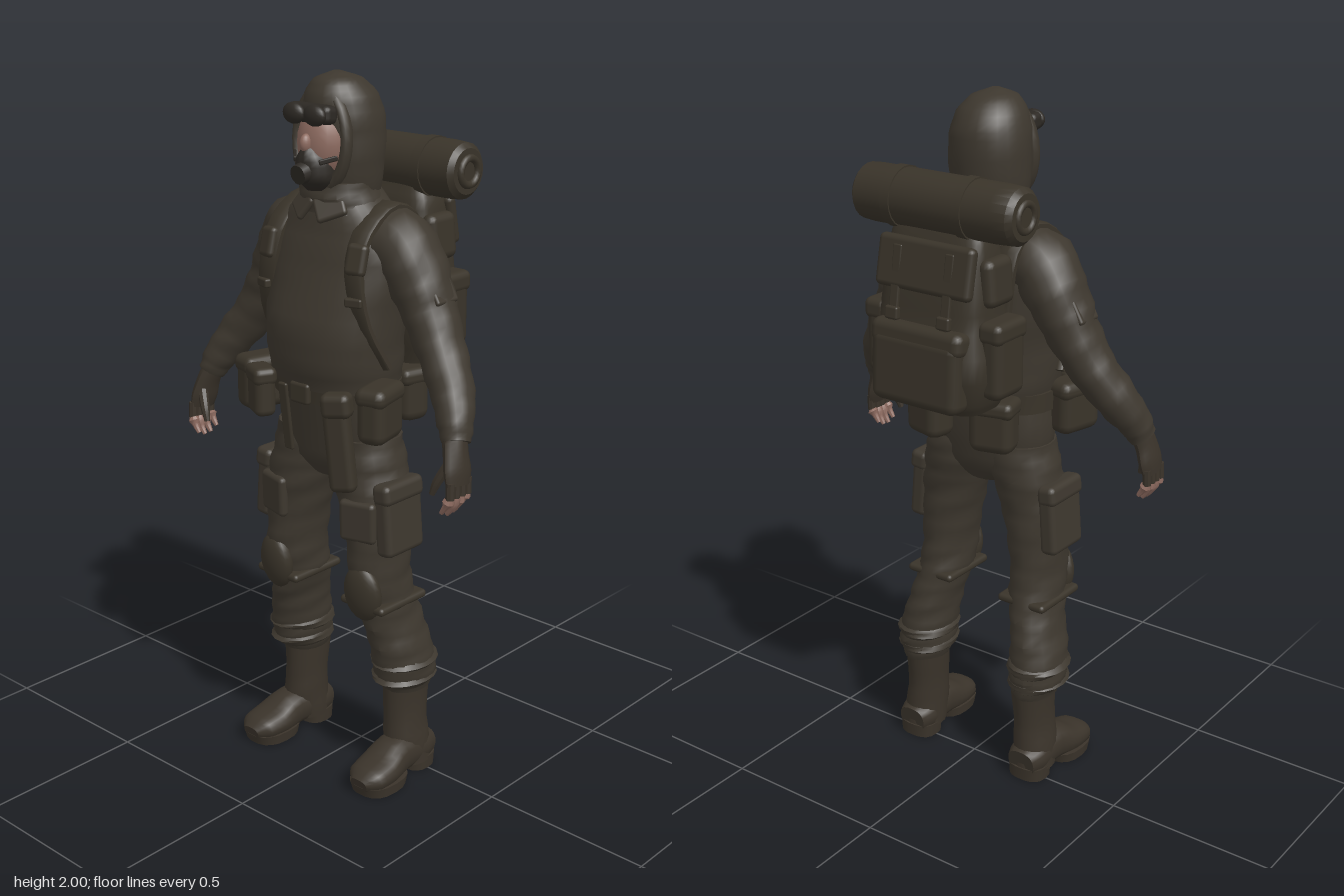
import * as THREE from 'three';
import { toCreasedNormals } from 'three/addons/utils/BufferGeometryUtils.js';
import { RoundedBoxGeometry } from 'three/addons/geometries/RoundedBoxGeometry.js';

const mat = (name, color) => Object.assign(new THREE.MeshStandardMaterial({ color }), { name });
const V = (x, y, z) => new THREE.Vector3(x, y, z);

export function createModel() {
  const cloth = mat('dark olive cloth', 0x3d372e);
  const gear = mat('pack canvas', 0x393329);
  const leather = mat('boot leather', 0x3a332a);
  const rubber = mat('mask rubber', 0x2c2823);
  const skin = mat('skin', 0x8c6a5f);
  const model = new THREE.Group();
  model.name = 'hikingSoldier';

  const add = (name, geo, material, pos = [0, 0, 0], rot = [0, 0, 0]) => {
    const m = new THREE.Mesh(geo, material);
    m.name = name;
    m.position.set(...pos);
    m.rotation.set(...rot);
    model.add(m);
    return m;
  };
  const box = (name, material, [w, h, d], pos, rot, r = 0.018) =>
    add(name, new RoundedBoxGeometry(w, h, d, 2, Math.min(r, w / 2.1, h / 2.1, d / 2.1)), material, pos, rot);
  const ball = (name, material, [a, b, c], pos, rot) =>
    add(name, new THREE.SphereGeometry(1, 18, 12).scale(a, b, c), material, pos, rot);

  // Skin through elliptical sections; each key is x, y, z, half width, half depth.
  // Without ref the sections stay level, with ref they follow the path.
  function loft(name, material, keys, { s = 1, seg = 18, steps = 3, power = 1, fold = 0, ref = null } = {}) {
    const path = new THREE.CatmullRomCurve3(keys.map(k => V(k[0] * s, k[1], k[2])));
    const size = new THREE.CatmullRomCurve3(keys.map(k => V(k[3], k[4], 0)));
    const n = (keys.length - 1) * steps, pos = [], idx = [];
    const bend = c => Math.sign(c) * Math.abs(c) ** power;
    for (let i = 0; i <= n; i++) {
      const c = path.getPoint(i / n), r = size.getPoint(i / n);
      const T = ref ? path.getTangent(i / n) : V(0, 1, 0);
      const v = ref ? V(...ref) : V(0, 0, 1);
      v.addScaledVector(T, -v.dot(T)).normalize();
      const u = T.clone().cross(v);
      for (let j = 0; j < seg; j++) {
        const t = j / seg * Math.PI * 2;
        const f = 1 + fold * (Math.sin(i * 2.1 + 2 * Math.sin(t + s)) + 0.5 * Math.sin(3 * t + i * 1.3));
        const p = c.clone().addScaledVector(u, r.x * f * bend(Math.cos(t))).addScaledVector(v, r.y * f * bend(Math.sin(t)));
        pos.push(p.x, p.y, p.z);
        const k = (j + 1) % seg, a = i * seg + j, b = i * seg + k;
        if (i < n) idx.push(a, a + seg, b, b, a + seg, b + seg);
      }
    }
    const lo = pos.length / 3, a = path.getPoint(0), b = path.getPoint(1);
    pos.push(a.x, a.y, a.z, b.x, b.y, b.z);
    for (let j = 0; j < seg; j++) {
      const k = (j + 1) % seg;
      idx.push(lo, j, k, lo + 1, n * seg + k, n * seg + j);
    }
    const g = new THREE.BufferGeometry();
    g.setAttribute('position', new THREE.Float32BufferAttribute(pos, 3));
    g.setIndex(idx);
    return add(name, toCreasedNormals(g, 0.7), material);
  }

  // Jacket, pelvis and belt
  loft('jacket', cloth, [[0, 1.17, 0.1, 0.185, 0.145], [0, 1.23, 0.105, 0.195, 0.155], [0, 1.33, 0.105, 0.2, 0.16],
    [0, 1.45, 0.085, 0.215, 0.145], [0, 1.55, 0.075, 0.215, 0.125], [0, 1.62, 0.07, 0.18, 0.11],
    [0, 1.67, 0.07, 0.12, 0.1], [0, 1.71, 0.075, 0.085, 0.09]], { seg: 28, power: 0.88, fold: 0.008 });
  loft('pelvis', cloth, [[0, 0.9, 0.09, 0.07, 0.07], [0, 0.95, 0.09, 0.165, 0.1], [0, 1.05, 0.09, 0.195, 0.115],
    [0, 1.2, 0.1, 0.18, 0.13]], { seg: 24, power: 0.9 });
  loft('belt', gear, [[0, 1.13, 0.1, 0.195, 0.135], [0, 1.185, 0.1, 0.195, 0.14]], { seg: 24, steps: 1, power: 0.9 });
  box('beltBuckle', gear, [0.07, 0.06, 0.02], [0, 1.158, 0.245]);
  box('hangingStrap', gear, [0.032, 0.2, 0.012], [-0.075, 1.07, 0.225], [0.12, 0, 0]);
  loft('collar', cloth, [[0, 1.64, 0.08, 0.135, 0.105], [0, 1.68, 0.085, 0.115, 0.105], [0, 1.72, 0.09, 0.1, 0.095]],
    { seg: 20, fold: 0.02 });

  // Hood, face and mask
  loft('hood', cloth, [[0, 1.66, 0.065, 0.095, 0.09], [0, 1.72, 0.07, 0.108, 0.098], [0, 1.8, 0.07, 0.115, 0.108],
    [0, 1.88, 0.072, 0.112, 0.112], [0, 1.94, 0.08, 0.095, 0.1], [0, 1.98, 0.09, 0.062, 0.068],
    [0, 2.0, 0.095, 0.01, 0.01]], { seg: 24, fold: 0.008 });
  const rim = new THREE.TorusGeometry(1, 0.15, 8, 28).scale(0.087, 0.128, 0.13);
  add('hoodRim', rim, cloth, [0, 1.828, 0.152], [-0.06, 0, 0]);
  ball('face', skin, [0.072, 0.1, 0.065], [0, 1.82, 0.148]);
  ball('nose', skin, [0.015, 0.025, 0.02], [0, 1.825, 0.212]);
  box('goggleFrame', rubber, [0.15, 0.05, 0.05], [0, 1.9, 0.19], [-0.1, 0, 0]);
  loft('mask', rubber, [[0, 1.7, 0.165, 0.03, 0.035], [0, 1.735, 0.175, 0.055, 0.055],
    [0, 1.78, 0.175, 0.05, 0.058], [0, 1.82, 0.185, 0.015, 0.035]]);
  const can = () => new THREE.CylinderGeometry(0.026, 0.03, 0.035, 14);
  add('maskFilter', can(), rubber, [0, 1.75, 0.228], [Math.PI / 2 + 0.2, 0, 0]);

  for (const s of [1, -1]) {
    const side = s > 0 ? 'left' : 'right';
    const m = (x, y, z) => [x * s, y, z];
    const r = (x, y, z) => [x, y * s, z * s];

    ball(side + 'GoggleLens', rubber, [0.036, 0.028, 0.02], m(0.037, 1.9, 0.218));
    box(side + 'MaskStrap', rubber, [0.05, 0.014, 0.008], m(0.06, 1.785, 0.193), r(0, 0.8, 0.25));
    box(side + 'CollarFlap', cloth, [0.085, 0.07, 0.02], m(0.048, 1.66, 0.175), r(-0.55, 0.35, 0.6));

    // Sleeve, elbow patch and hand
    loft(side + 'Sleeve', cloth, [[0.1, 1.585, 0.055, 0.075, 0.09], [0.185, 1.56, 0.05, 0.09, 0.098],
      [0.245, 1.475, 0.045, 0.082, 0.092], [0.29, 1.39, 0.05, 0.071, 0.08], [0.345, 1.295, 0.065, 0.062, 0.07],
      [0.405, 1.21, 0.095, 0.057, 0.062], [0.445, 1.14, 0.13, 0.046, 0.05], [0.46, 1.1, 0.145, 0.036, 0.042]],
      { s, steps: 4, fold: 0.035, ref: [0, 0, 1] });
    box(side + 'SleevePocket', cloth, [0.02, 0.09, 0.085], m(0.318, 1.465, 0.045), r(0, 0, 0.52), 0.008);
    loft(side + 'Glove', leather, [[0.455, 1.11, 0.145, 0.03, 0.038], [0.468, 1.07, 0.155, 0.026, 0.042],
      [0.478, 1.03, 0.16, 0.024, 0.048], [0.485, 0.995, 0.165, 0.018, 0.044]], { s, seg: 12, ref: [0, 0, 1] });
    for (let i = 0; i < 4; i++) {
      const z = 0.13 + i * 0.023, drop = [0.015, 0.002, 0, 0.01][i];
      loft(side + 'GlovedFinger', leather, [[0.487, 1.01, z, 0.012, 0.012], [0.488, 0.965, z + 0.002, 0.012, 0.012]],
        { s, seg: 8, steps: 1, ref: [0, 0, 1] });
      loft(side + 'Fingertip', skin, [[0.488, 0.968, z + 0.002, 0.01, 0.01], [0.477, 0.935 + drop, z + 0.003, 0.01, 0.01],
        [0.461, 0.912 + drop, z + 0.003, 0.006, 0.006]], { s, seg: 8, steps: 2, ref: [0, 0, 1] });
    }
    loft(side + 'Thumb', leather, [[0.465, 1.05, 0.18, 0.015, 0.016], [0.44, 1.0, 0.195, 0.013, 0.013],
      [0.427, 0.965, 0.2, 0.008, 0.008]], { s, seg: 8, ref: [0, 0, 1] });

    // Trouser leg, knee pad and cargo pocket
    loft(side + 'TrouserLeg', cloth, [[0.198, 0.27, 0.025, 0.062, 0.078], [0.203, 0.33, 0.04, 0.08, 0.1],
      [0.198, 0.4, 0.05, 0.078, 0.1], [0.182, 0.48, 0.065, 0.071, 0.1], [0.165, 0.56, 0.085, 0.076, 0.098],
      [0.16, 0.64, 0.1, 0.075, 0.1], [0.152, 0.75, 0.1, 0.085, 0.1], [0.135, 0.86, 0.1, 0.1, 0.103],
      [0.112, 0.95, 0.09, 0.105, 0.105], [0.1, 1.03, 0.09, 0.095, 0.1]], { s, steps: 4, fold: 0.028 });
    for (const [y, a] of [[0.31, 0.085], [0.36, 0.088]])
      loft(side + 'TrouserFold', cloth, [[0.2, y - 0.022, 0.035, a - 0.018, a], [0.202, y, 0.042, a, a + 0.018],
        [0.2, y + 0.022, 0.045, a - 0.016, a]], { s, fold: 0.03 });
    ball(side + 'KneePad', gear, [0.06, 0.085, 0.035], m(0.168, 0.595, 0.18), r(0.1, 0.1, 0));
    box(side + 'KneeStrap', gear, [0.16, 0.025, 0.195], m(0.165, 0.555, 0.09), r(0, 0, 0), 0.07);
    box(side + 'CargoPocket', cloth, [0.055, 0.19, 0.15], m(0.228, 0.81, 0.1), r(0, 0, 0.08));
    box(side + 'CargoFlap', cloth, [0.06, 0.06, 0.158], m(0.225, 0.895, 0.1), r(0, 0, 0.12));
    box(side + 'ThighPocket', cloth, [0.11, 0.12, 0.03], m(0.16, 0.81, 0.19), r(0.02, 0.25, 0));

    // Boot
    loft(side + 'BootShaft', leather, [[0.205, 0.03, 0.02, 0.062, 0.07], [0.203, 0.1, 0.03, 0.06, 0.075],
      [0.198, 0.18, 0.03, 0.055, 0.072], [0.196, 0.3, 0.025, 0.06, 0.082]], { s, fold: 0.01 });
    loft(side + 'BootFoot', leather, [[0.205, 0.055, -0.048, 0.045, 0.04], [0.205, 0.062, 0.0, 0.06, 0.05],
      [0.21, 0.068, 0.09, 0.057, 0.056], [0.215, 0.052, 0.16, 0.066, 0.042], [0.218, 0.045, 0.22, 0.06, 0.034],
      [0.218, 0.038, 0.253, 0.03, 0.018]], { s, power: 0.8, ref: [0, 1, 0] });
    loft(side + 'BootHeel', leather, [[0.205, 0, 0.0, 0.058, 0.05], [0.205, 0.04, 0.0, 0.06, 0.053]], { s, steps: 1, power: 0.75 });
    loft(side + 'BootSole', leather, [[0.217, 0, 0.165, 0.066, 0.078], [0.217, 0.03, 0.165, 0.069, 0.088]], { s, steps: 1, power: 0.8 });

    // Webbing and belt pouches
    loft(side + 'ShoulderStrap', gear, [[0.14, 1.45, -0.07, 0.012, 0.03], [0.145, 1.6, -0.045, 0.012, 0.032],
      [0.145, 1.658, 0.05, 0.014, 0.034], [0.15, 1.6, 0.16, 0.012, 0.032], [0.155, 1.5, 0.2, 0.012, 0.03],
      [0.178, 1.36, 0.185, 0.01, 0.022], [0.2, 1.24, 0.12, 0.01, 0.016]], { s, seg: 10, power: 0.5, ref: [1, 0, 0] });
    box(side + 'StrapPouch', gear, [0.06, 0.085, 0.03], m(0.16, 1.54, 0.195), r(-0.25, 0.25, 0));
    box(side + 'StrapBuckle', gear, [0.05, 0.025, 0.02], m(0.165, 1.43, 0.212), r(0, 0.3, 0), 0.006);
    box(side + 'HipPouch', gear, [0.085, 0.15, 0.14], m(0.22, 1.13, 0.17), r(0, 0.25, 0), 0.03);
    box(side + 'HipPouchFlap', gear, [0.092, 0.055, 0.148], m(0.22, 1.185, 0.17), r(0, 0.25, 0), 0.025);
    box(side + 'RearPouch', gear, [0.13, 0.15, 0.09], m(0.11, 1.115, -0.06), r(0, -0.25, 0), 0.03);
    box(side + 'RearPouchFlap', gear, [0.136, 0.05, 0.098], m(0.11, 1.17, -0.06), r(0, -0.25, 0), 0.02);

    // Pack side pocket and closing straps
    box(side + 'PackSidePocket', gear, [0.07, 0.2, 0.13], m(0.19, 1.34, -0.135), r(0, 0, 0), 0.028);
    box(side + 'PackSideFlap', gear, [0.076, 0.06, 0.138], m(0.19, 1.425, -0.135), r(0, 0, 0), 0.02);
    box(side + 'PackUpperPocket', gear, [0.05, 0.13, 0.11], m(0.165, 1.55, -0.13), r(0, 0, 0.08), 0.025);
    box(side + 'PackStrap', gear, [0.028, 0.26, 0.012], m(0.085, 1.5, -0.238), r(0.15, 0, 0), 0.004);
    box(side + 'PackBuckle', gear, [0.042, 0.035, 0.02], m(0.085, 1.45, -0.25), r(0.1, 0, 0), 0.006);
  }

  // Front pouches: a short one on the right, a long holster on the left
  box('frontPouch', gear, [0.09, 0.13, 0.06], [-0.15, 1.13, 0.245], [0, -0.45, 0], 0.02);
  box('frontPouchFlap', gear, [0.096, 0.05, 0.068], [-0.15, 1.18, 0.245], [0, -0.45, 0]);
  box('holster', gear, [0.075, 0.25, 0.05], [0.135, 1.03, 0.235], [0, 0.4, 0.1], 0.02);
  box('holsterFlap', gear, [0.085, 0.07, 0.06], [0.13, 1.15, 0.24], [0, 0.4, 0.1], 0.02);

  // Backpack
  loft('packBody', gear, [[0, 1.19, -0.14, 0.15, 0.085], [0, 1.24, -0.145, 0.17, 0.1], [0, 1.42, -0.14, 0.17, 0.1],
    [0, 1.56, -0.135, 0.162, 0.085], [0, 1.65, -0.13, 0.15, 0.065], [0, 1.69, -0.13, 0.13, 0.05]],
    { seg: 32, power: 0.5, fold: 0.006 });
  box('packRearPocket', gear, [0.29, 0.2, 0.08], [0, 1.305, -0.243], [0.05, 0, 0], 0.03);
  box('packRearFlap', gear, [0.3, 0.07, 0.08], [0, 1.395, -0.235], [0.1, 0, 0], 0.025);
  box('packLid', gear, [0.31, 0.14, 0.035], [0, 1.58, -0.213], [0.2, 0, 0], 0.016);

  // Bedroll: a rounded cylinder with bands and a spiral end
  const roll = [[0, -0.265], [0.062, -0.265], [0.076, -0.25], [0.079, -0.2], [0.079, 0.2], [0.076, 0.24], [0.062, 0.253], [0, 0.253]];
  const lathe = new THREE.LatheGeometry(roll.map(p => new THREE.Vector2(...p)), 22);
  add('bedroll', toCreasedNormals(lathe, 0.7), gear, [0, 1.735, -0.142], [0, 0, -Math.PI / 2]);
  for (const x of [-0.1, 0.13])
    add('bedrollBand', new THREE.CylinderGeometry(0.083, 0.083, 0.03, 22), gear, [x, 1.735, -0.142], [0, 0, Math.PI / 2]);
  for (const x of [-0.262, 0.255])
    add('bedrollEnd', new THREE.TorusGeometry(0.036, 0.011, 8, 20), gear, [x, 1.735, -0.142], [0, Math.PI / 2, 0]);

  return model;
}
